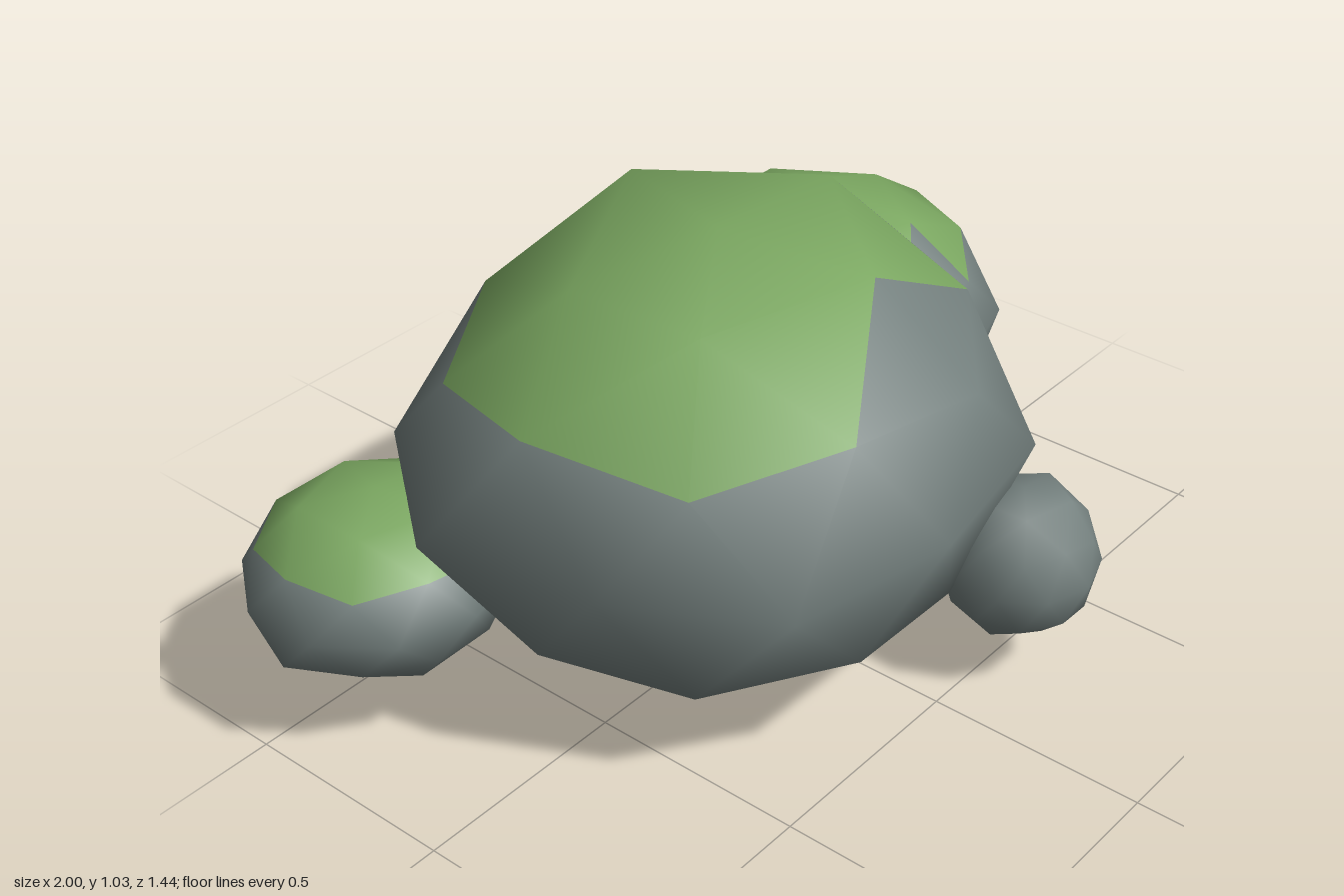
import * as THREE from 'three';

const stone = new THREE.MeshStandardMaterial({ color: 0x74807e });
stone.name = 'stone grey';
const moss = new THREE.MeshStandardMaterial({ color: 0x7aa660 });
moss.name = 'moss green';

const ones = n => Array(n).fill(1);

// A lumpy 80-sided boulder: rings of points from pole to pole, each ring
// with its own distance factors. Upper faces are moss, except bare corners.
function boulder({ name, center, radii, mossy = true, bare = [], poles = [1, 1], crown = ones(5), shoulder = ones(5),
  gap = ones(5), belt = ones(10), hip = ones(5), hipGap = ones(5), foot = ones(5) }) {
  const points = [];
  const ring = (factors, height, start, step) => {
    const first = points.length;
    const r = Math.sqrt(1 - height * height);
    factors.forEach((f, i) => {
      const a = THREE.MathUtils.degToRad(start + step * i);
      points.push(new THREE.Vector3(Math.cos(a) * r * f * radii[0], height * f * radii[1], Math.sin(a) * r * f * radii[2]));
    });
    return i => first + (i + factors.length) % factors.length;
  };
  const top = ring([poles[0]], 1, 0, 0)(0);
  const U = ring(crown, 0.8507, 0, 72);
  const R = ring(shoulder, 0.4472, 0, 72);
  const M = ring(gap, 0.5257, 36, 72);
  const E = ring(belt, 0, 18, 36);
  const r = ring(hip, -0.4472, 36, 72);
  const m = ring(hipGap, -0.5257, 72, 72);
  const u = ring(foot, -0.8507, 36, 72);
  const bottom = ring([poles[1]], -1, 0, 0)(0);

  // Faces are turned to point outward
  const mossFaces = [], stoneFaces = [];
  const face = (list, a, b, c) => {
    const [A, B, C] = [points[a], points[b], points[c]];
    const n = B.clone().sub(A).cross(C.clone().sub(A));
    const out = A.clone().add(B).add(C);
    list.push(...(n.dot(out) > 0 ? [a, b, c] : [a, c, b]));
  };
  const green = mossy ? mossFaces : stoneFaces;
  const corner = key => (bare.includes(key) ? stoneFaces : green);
  for (let k = 0; k < 5; k++) {
    const e0 = E(2 * k), e1 = E(2 * k + 1), e2 = E(2 * k + 2);
    // Cap
    face(green, top, U(k), U(k + 1));
    face(green, U(k), M(k), U(k + 1));
    face(corner(k + 'a'), U(k), R(k), M(k));
    face(corner(k + 'b'), U(k), R(k), M(k - 1));
    // Sides
    [[R(k), e0, M(k)], [M(k), e0, e1], [e1, R(k + 1), M(k)], [e0, r(k), e1],
      [R(k + 1), e1, e2], [e1, m(k), e2], [r(k), m(k), e1], [m(k), r(k + 1), e2],
      // Underside
      [u(k), r(k), m(k)], [u(k), m(k), u(k + 1)], [u(k + 1), m(k), r(k + 1)],
      [bottom, u(k), u(k + 1)]].forEach(f => face(stoneFaces, ...f));
  }
  const geo = new THREE.BufferGeometry().setFromPoints(points);
  geo.setIndex([...stoneFaces, ...mossFaces]);
  geo.addGroup(0, stoneFaces.length, 0);
  if (mossFaces.length) geo.addGroup(stoneFaces.length, mossFaces.length, 1);
  geo.computeVertexNormals();
  const mesh = new THREE.Mesh(geo, [stone, moss]);
  mesh.name = name;
  mesh.position.set(...center);
  return mesh;
}

export function createModel() {
  const group = new THREE.Group();
  group.name = 'mossyBoulders';
  group.add(
    boulder({
      name: 'mainBoulder', center: [-0.125, 0.53, 0.005], radii: [0.63, 0.51, 0.6],
      bare: ['0a', '0b', '1a', '1b', '4a', '4b'],
      poles: [0.98, 1.04],
      crown: [1.09, 1.04, 1.02, 0.93, 1.1],
      shoulder: [1.07, 1.02, 1.03, 1.02, 1.03],
      gap: [1.02, 0.98, 1.07, 1.02, 1.03],
      belt: [1.09, 1.08, 0.99, 1.07, 0.98, 1.12, 1.12, 1.04, 1.01, 1.02],
      foot: [0.97, 0.97, 1, 0.97, 0.97],
    }),
    boulder({
      name: 'leftBoulder', center: [0.6, 0.428, -0.288], radii: [0.4, 0.315, 0.432],
      bare: ['1a'],
      poles: [1.04, 0.96],
      crown: [0.96, 0.95, 0.98, 0.98, 0.97],
      shoulder: [1.04, 0.94, 0.98, 0.98, 0.98],
      gap: [0.96, 0.95, 0.97, 0.96, 0.96],
      belt: [1.01, 1, 0.98, 1, 1, 0.96, 0.95, 1, 0.9, 1.05],
      hipGap: [1, 1, 1, 1, 0.96],
      foot: [1.07, 1.07, 1.07, 1.07, 1.07],
    }),
    boulder({
      name: 'rightBoulder', center: [-0.715, 0.345, -0.41], radii: [0.285, 0.195, 0.28],
      crown: [1.03, 1.06, 1.04, 1.04, 1.03],
      gap: [1, 1, 1.02, 1, 1],
      belt: [1.04, 1.02, 0.98, 1.02, 1.03, 1.04, 1.04, 1, 1.02, 1.04],
      hip: [1.04, 1, 1.1, 1, 1.04],
      foot: [1.12, 1.1, 1.02, 1.1, 1.12],
    }),
    boulder({
      name: 'smallStone', center: [0.216, 0.284, 0.546], radii: [0.174, 0.176, 0.175], mossy: false,
      crown: [1.07, 1.12, 1.07, 1.04, 1.04],
      foot: [0.94, 0.96, 1.03, 0.98, 0.94],
    }),
  );
  return group;
}
